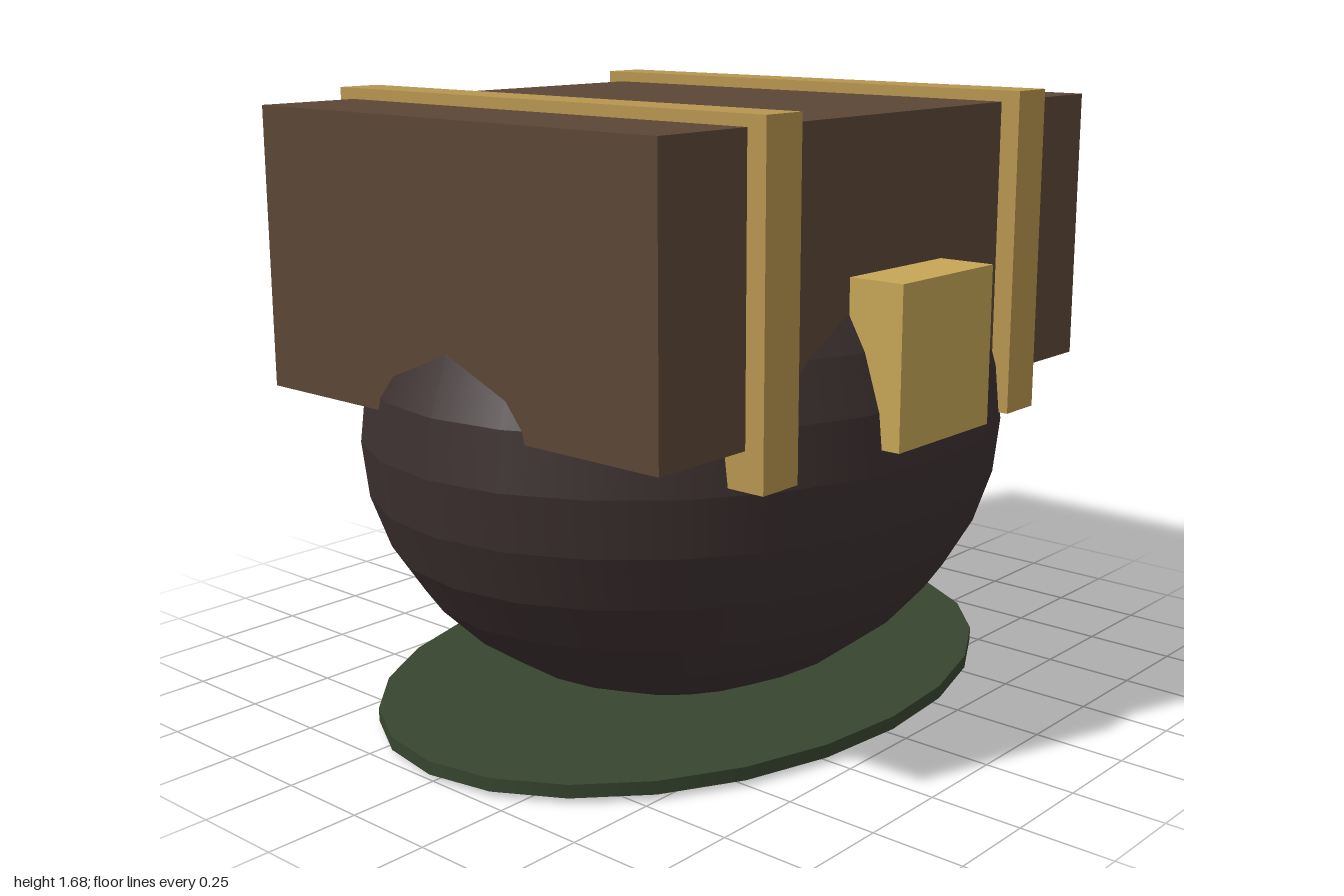
import * as THREE from 'three';
import { mergeGeometries } from 'three/addons/utils/BufferGeometryUtils.js';

const ZC = -0.013; // common centre of the body in z

function add(group, name, geometry, color, x, y, z) {
  const mesh = new THREE.Mesh(geometry, new THREE.MeshStandardMaterial({ color }));
  mesh.name = name;
  mesh.position.set(x, y, z);
  group.add(mesh);
  return mesh;
}

// Ball made of stacked bands: smooth around, creased between rows
function bandedBall(rx, ry, rz, columns, rows) {
  const bands = [];
  for (let i = 0; i < rows; i++) {
    const a = (i / rows) * Math.PI, b = ((i + 1) / rows) * Math.PI;
    const top = Math.cos(a), bottom = Math.cos(b);
    const band = new THREE.CylinderGeometry(
      Math.sin(a), Math.sin(b), top - bottom, columns, 1, true);
    band.translate(0, (top + bottom) / 2, 0);
    bands.push(band.toNonIndexed());
  }
  return mergeGeometries(bands).scale(rx, ry, rz);
}

export function createModel() {
  const model = new THREE.Group();
  model.name = 'strappedChest';

  // Flat oval base, with the ball just poking through underneath
  const disc = new THREE.CylinderGeometry(1, 1, 0.036, 24).scale(1, 1, 0.72);
  add(model, 'baseDisc', disc, 0x37452f, 0, 0.032, ZC);

  // Round belly
  add(model, 'ball', bandedBall(0.975, 0.78, 0.83, 24, 16), 0x3d3030, 0, 0.78, ZC);

  // Chest sunk into the ball
  add(model, 'chest', new THREE.BoxGeometry(1.8, 0.75, 1.39), 0x5c4636, 0, 1.275, ZC);

  // Straps over the chest
  for (const side of [-1, 1]) {
    add(model, side > 0 ? 'leftStrap' : 'rightStrap',
      new THREE.BoxGeometry(0.13, 0.88, 1.5), 0xb8964f, side * 0.535, 1.24, ZC);
  }

  // Front clasp
  add(model, 'clasp', new THREE.BoxGeometry(0.4, 0.42, 0.2), 0xc6a656, 0, 1.05, 0.74);

  return model;
}
